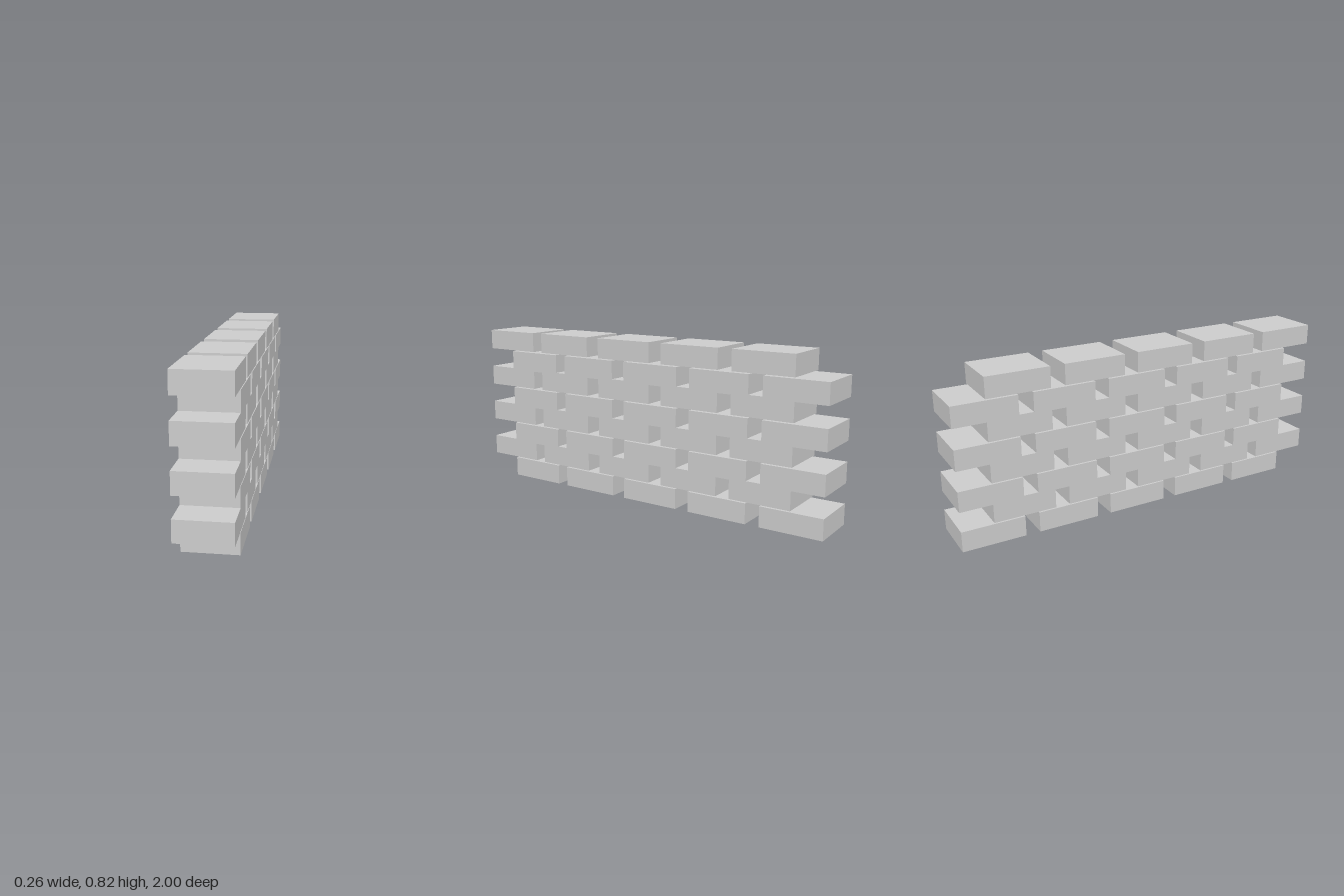
import * as THREE from 'three';

export function createModel() {
  const wall = new THREE.Group();
  wall.name = 'openBrickWall';
  const material = new THREE.MeshStandardMaterial({ color: 0xcccccc, flatShading: true });

  const width = 0.258, height = 0.1025, length = 0.313;
  const brick = new THREE.BoxGeometry(width, height, length);
  // Front end of each brick in an upper course; the first gap is narrower
  const fronts = [1, 0.628, 0.243, -0.142, -0.527];
  const shift = 0.16;      // setback of the lower course in each pair
  const pairHeight = 0.2025;

  for (let course = 0; course < 8; course++) {
    const upper = course % 2;
    const row = new THREE.Group();
    row.name = `course${course + 1}`;
    row.position.y = Math.floor(course / 2) * pairHeight + (upper ? 0.108 : 0) + height / 2;
    fronts.forEach((front, i) => {
      const mesh = new THREE.Mesh(brick, material);
      mesh.name = `brick${i + 1}`;
      mesh.position.z = front - length / 2 - (upper ? 0 : shift);
      row.add(mesh);
    });
    wall.add(row);
  }
  return wall;
}
